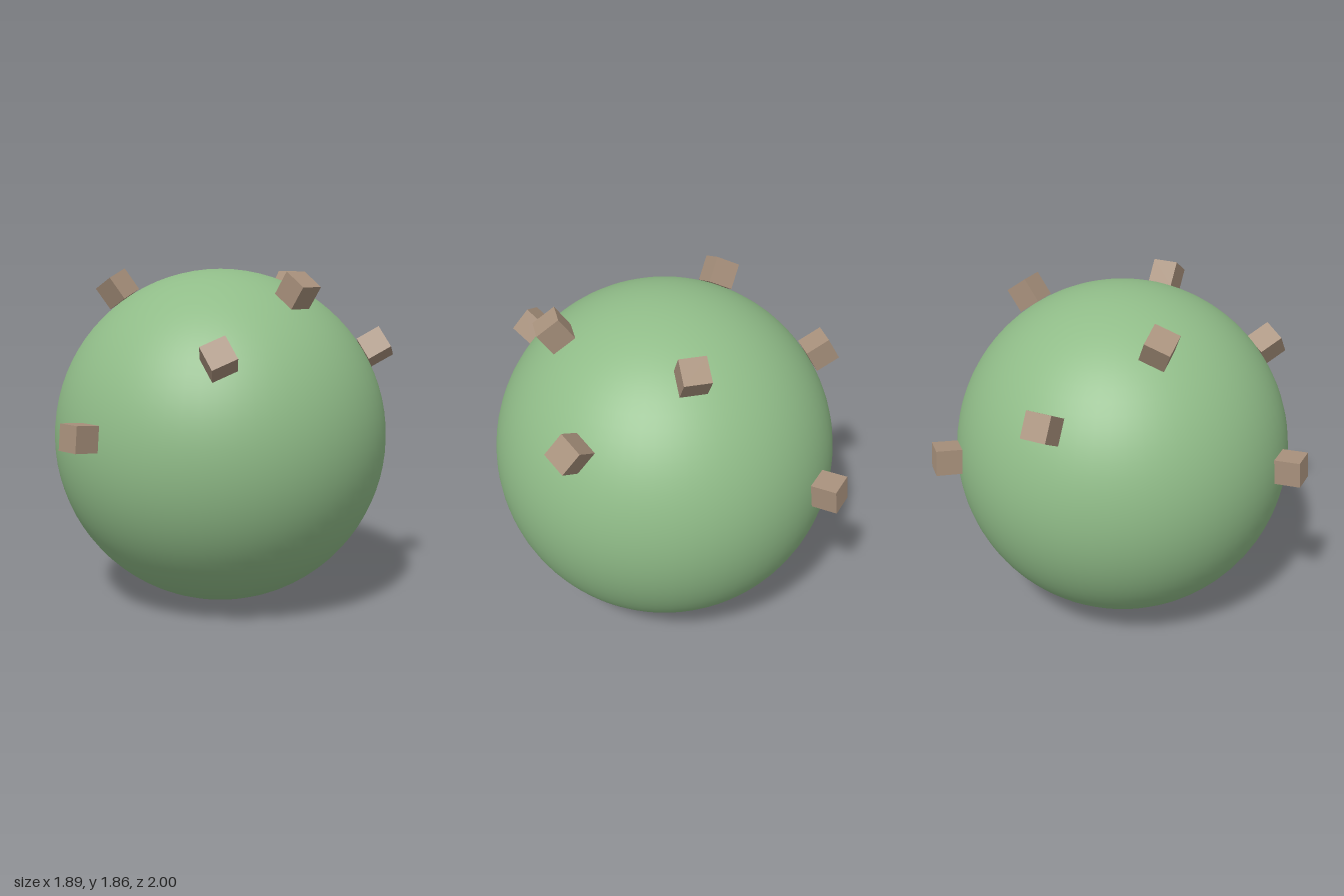
import * as THREE from 'three';

const R = 0.929;     // ball radius
const CUBE = 0.139;  // cube edge

export function createModel() {
  const model = new THREE.Group();
  model.name = 'studdedBall';
  model.position.set(0.015, R, -0.071);

  const green = new THREE.MeshStandardMaterial({ color: 0x90bc88 });
  green.name = 'soft green';
  const tan = new THREE.MeshStandardMaterial({ color: 0xa8917c });
  tan.name = 'tan';

  // Smooth ball
  const ball = new THREE.Mesh(new THREE.SphereGeometry(R, 64, 40), green);
  ball.name = 'ball';
  model.add(ball);

  // Cubes resting on the ball, one every 45 degrees, at these heights (degrees)
  const elevations = [5, 30, 55, 30, 55, 5, 30, 55];
  const cubeGeometry = new THREE.BoxGeometry(CUBE, CUBE, CUBE);
  elevations.forEach((degrees, i) => {
    const elevation = THREE.MathUtils.degToRad(degrees);
    const cube = new THREE.Mesh(cubeGeometry, tan);
    cube.name = `surfaceCube${i + 1}`;
    cube.position.setFromSphericalCoords(R + CUBE / 2, Math.PI / 2 - elevation, i * Math.PI / 4);
    // Face outward, keeping one pair of edges level with the z axis
    cube.up.set(0, 0, 1);
    cube.lookAt(cube.position.clone().multiplyScalar(2));
    model.add(cube);
  });

  const root = new THREE.Group();
  root.name = 'model';
  root.add(model);
  return root;
}
